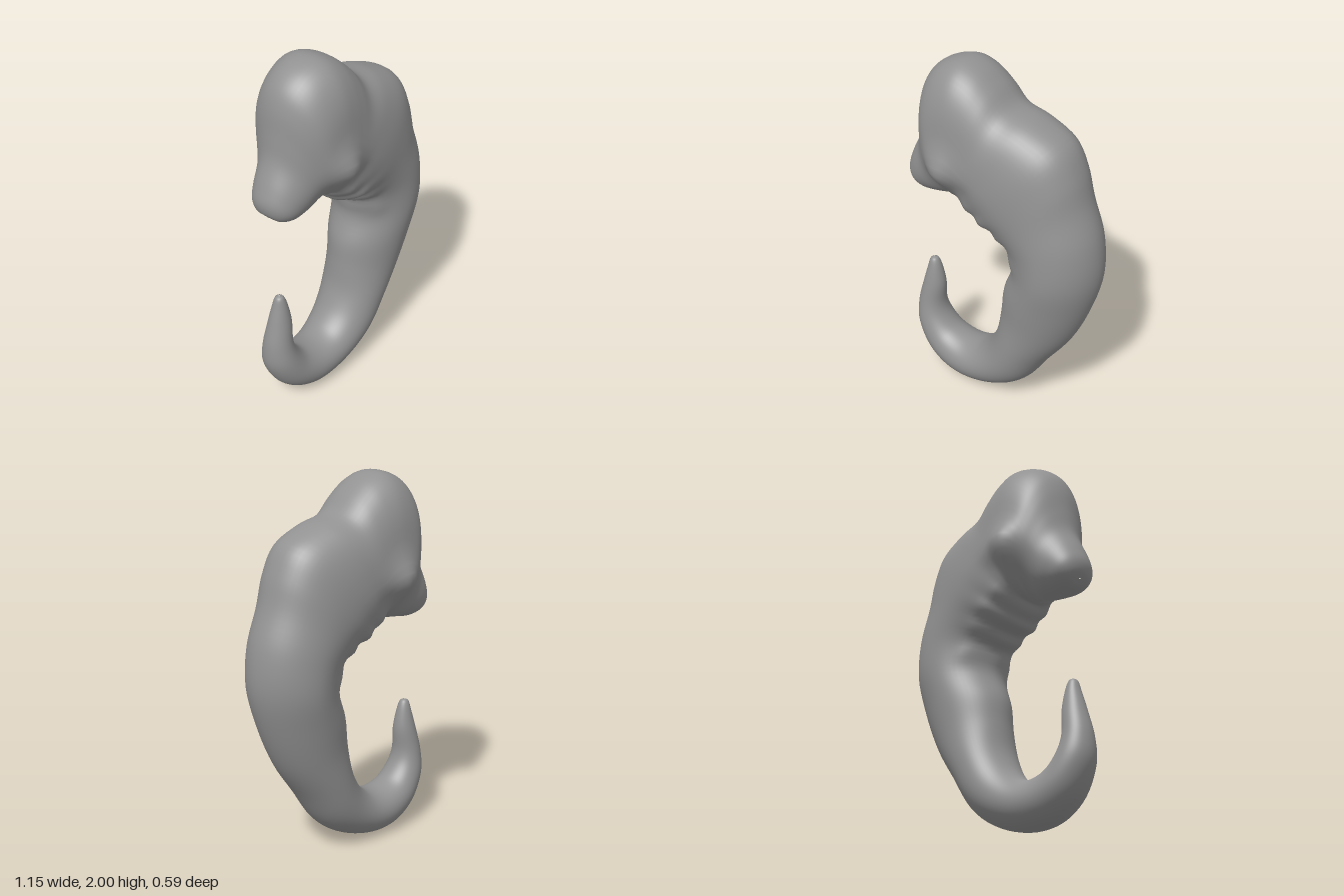
import * as THREE from 'three';

// Cross-sections from tail tip to snout:
// [inner x, inner y, outer x, outer y, half width, roundness exponent]
const tail = [
  [-0.47, 0.71, -0.475, 0.71, 0.004, 2], [-0.447, 0.697, -0.496, 0.695, 0.025, 2],
  [-0.427, 0.64, -0.512, 0.64, 0.042, 2], [-0.41, 0.54, -0.54, 0.54, 0.062, 2],
  [-0.415, 0.42, -0.572, 0.40, 0.082, 2], [-0.39, 0.34, -0.565, 0.26, 0.105, 2],
  [-0.33, 0.275, -0.48, 0.11, 0.125, 2], [-0.24, 0.25, -0.34, 0.02, 0.14, 2],
];
const trunk = [
  [-0.16, 0.265, -0.17, 0.005, 0.15, 2], [-0.1, 0.31, 0.02, 0.06, 0.163, 2],
  [-0.05, 0.38, 0.17, 0.165, 0.175, 2], [-0.01, 0.48, 0.29, 0.34, 0.185, 2],
  [0.01, 0.62, 0.42, 0.53, 0.195, 1.95], [0.025, 0.76, 0.515, 0.75, 0.217, 1.9],
  [0.075, 0.91, 0.57, 0.97, 0.238, 1.85], [0.055, 1.03, 0.555, 1.19, 0.24, 1.9],
  [-0.02, 1.10, 0.487, 1.39, 0.24, 2], [-0.10, 1.14, 0.44, 1.55, 0.24, 2.2],
  [-0.14, 1.17, 0.36, 1.69, 0.24, 2.3], [-0.17, 1.21, 0.2, 1.77, 0.24, 2.4],
];
const head = [
  [-0.185, 1.23, 0.06, 1.81, 0.242, 2.4], [-0.195, 1.235, -0.03, 1.90, 0.243, 2.4],
  [-0.205, 1.235, -0.12, 1.97, 0.245, 2.4], [-0.215, 1.235, -0.22, 2.0, 0.245, 2.4],
  [-0.225, 1.23, -0.33, 1.97, 0.24, 2.2], [-0.235, 1.23, -0.41, 1.90, 0.23, 2],
  [-0.25, 1.225, -0.45, 1.80, 0.21, 1.9], [-0.27, 1.22, -0.468, 1.66, 0.185, 1.9],
  [-0.30, 1.21, -0.487, 1.54, 0.165, 1.9], [-0.35, 1.205, -0.54, 1.42, 0.145, 2],
  [-0.42, 1.197, -0.567, 1.34, 0.118, 2], [-0.49, 1.21, -0.56, 1.28, 0.07, 2],
  [-0.53, 1.24, -0.535, 1.245, 0.004, 2],
];

// Soft side swellings and hollows: [x, y, radius, height]
const swellings = [
  [-0.23, 1.47, 0.1, 0.06],    // eye
  [-0.12, 1.38, 0.06, -0.012], // hollow behind the eye
  [0.03, 1.38, 0.19, 0.018],   // cheek and shoulder
  [-0.13, 1.25, 0.045, 0.02],  // throat arches
  [-0.04, 1.19, 0.045, 0.016],
  [0.04, 1.11, 0.045, 0.016],
  [0.11, 0.99, 0.05, 0.02],    // limb bud
];

// Ripples along the throat edge
function throatRipple(x, y) {
  const along = (x + 0.18) * 0.7 - (y - 1.24) * 0.7;
  if (x < -0.25 || along < 0 || along > 0.4) return 0;
  return 0.009 * Math.sin(along * 56) * Math.sin((along / 0.4) * Math.PI);
}

function loftBody(sections, rings, sides) {
  const inner = new THREE.CatmullRomCurve3(
    sections.map(s => new THREE.Vector3(s[0], s[1], s[4])), false, 'catmullrom', 0.5);
  const outer = new THREE.CatmullRomCurve3(
    sections.map(s => new THREE.Vector3(s[2], s[3], s[5])), false, 'catmullrom', 0.5);
  const positions = [], index = [];
  const power = (v, e) => Math.sign(v) * Math.pow(Math.abs(v), e);

  for (let i = 0; i <= rings; i++) {
    const a = inner.getPoint(i / rings), b = outer.getPoint(i / rings);
    const width = Math.max(a.z, 0.003), e = 2 / b.z;
    for (let j = 0; j < sides; j++) {
      const angle = (j / sides) * Math.PI * 2;
      const c = power(Math.cos(angle), e), s = power(Math.sin(angle), e);
      let x = a.x + (b.x - a.x) * (1 + c) / 2;
      let y = a.y + (b.y - a.y) * (1 + c) / 2;
      let z = width * s;
      for (const [sx, sy, r, h] of swellings) {
        const d2 = ((x - sx) ** 2 + (y - sy) ** 2) / (r * r);
        z += h * Math.exp(-d2) * THREE.MathUtils.clamp(s * 1.5, -1, 1);
      }
      const ripple = throatRipple(x, y) * Math.max(0, -c) ** 3;
      x -= ripple;
      y -= ripple;
      positions.push(x, y, z);
    }
  }
  for (let i = 0; i < rings; i++) {
    for (let j = 0; j < sides; j++) {
      const k = (j + 1) % sides;
      const p = i * sides + j, q = i * sides + k;
      index.push(p, p + sides, q, q, p + sides, q + sides);
    }
  }
  const geometry = new THREE.BufferGeometry();
  geometry.setAttribute('position', new THREE.Float32BufferAttribute(positions, 3));
  geometry.setIndex(index);
  geometry.computeVertexNormals();
  return geometry;
}

export function createModel() {
  const group = new THREE.Group();
  group.name = 'embryo';
  const material = new THREE.MeshStandardMaterial({ color: 0x929292 });

  // Curled body in one skin, from tail tip to snout
  const body = new THREE.Mesh(loftBody([...tail, ...trunk, ...head], 160, 56), material);
  body.name = 'curledBody';
  group.add(body);
  return group;
}
